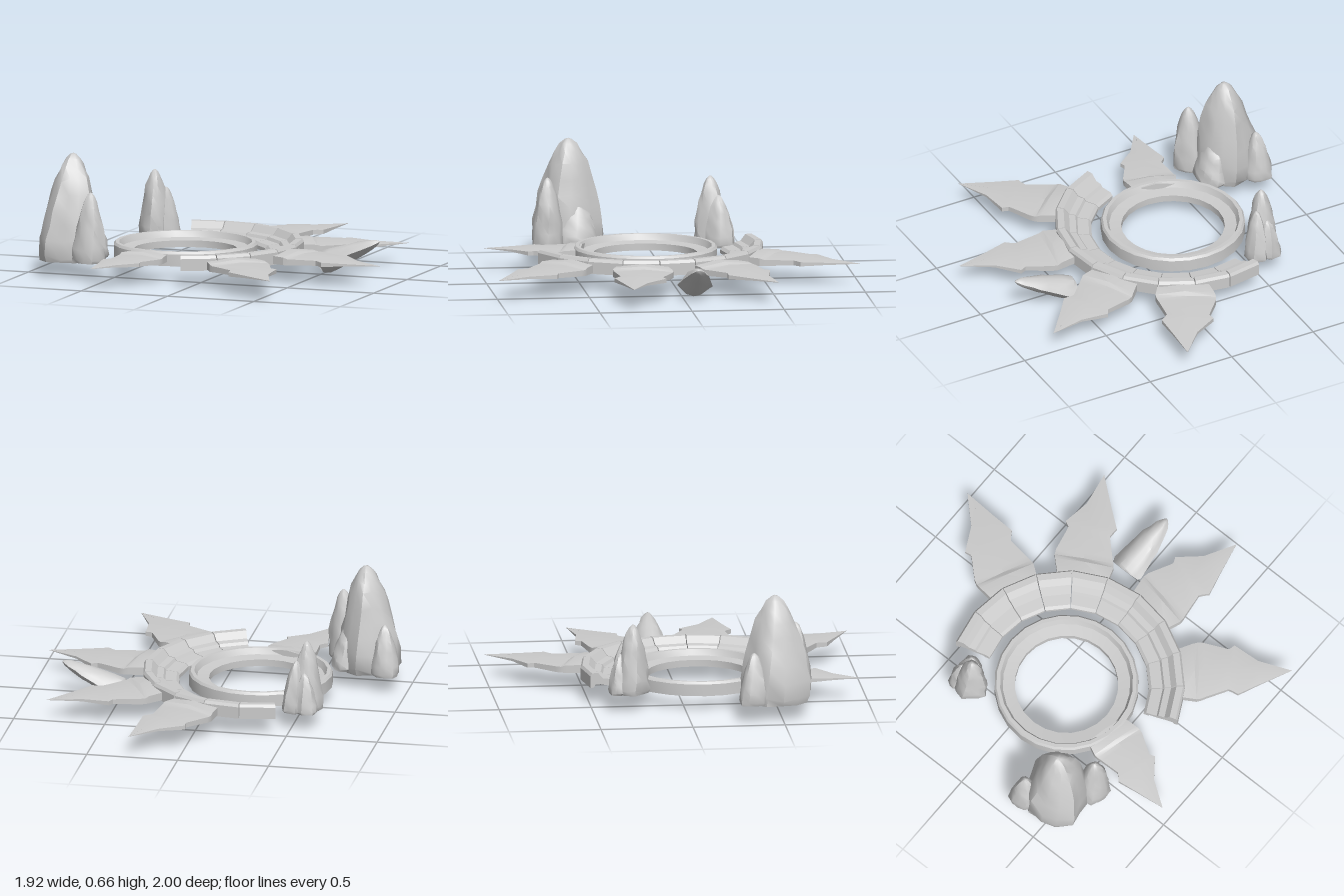
import * as THREE from 'three';
import { toCreasedNormals } from 'three/addons/utils/BufferGeometryUtils.js';

const material = new THREE.MeshStandardMaterial({ color: 0xcccccc });
const CX = -0.24, CZ = 0.11; // shared centre of the ring, arc and blades
const DEG = Math.PI / 180;

function add(parent, name, geometry, crease = 0.5) {
  const mesh = new THREE.Mesh(toCreasedNormals(geometry, crease), material);
  mesh.name = name;
  parent.add(mesh);
  return mesh;
}

// Skin a stack of equal-length rings and close the first one
function loft(rings) {
  const n = rings[0].length, index = [];
  for (let i = 0; i < rings.length - 1; i++) {
    for (let j = 0; j < n; j++) {
      const a = i * n + j, b = i * n + (j + 1) % n;
      index.push(a, b, a + n, b, b + n, a + n);
    }
  }
  for (let k = 1; k < n - 1; k++) index.push(0, k + 1, k);
  const geometry = new THREE.BufferGeometry();
  geometry.setAttribute('position', new THREE.Float32BufferAttribute(rings.flat(2), 3));
  geometry.setIndex(index);
  return geometry;
}

// Closed ring with raised rim and recessed inner ledge
function ringGeometry() {
  const profile = [[0.28, 0.085], [0.39, 0.085], [0.39, 0.15], [0.38, 0.163], [0.36, 0.163],
    [0.345, 0.13], [0.28, 0.122], [0.28, 0.085]];
  return new THREE.LatheGeometry(profile.map(p => new THREE.Vector2(...p)), 24);
}

// One block of the stepped arc: an extrusion bent into a wedge
function arcBlockGeometry(start, sweep) {
  const profile = [[0.64, 0.1], [0.64, 0.165], [0.63, 0.18], [0.595, 0.18], [0.565, 0.145],
    [0.53, 0.14], [0.52, 0.125], [0.46, 0.12], [0.445, 0.105], [0.445, 0.085],
    [0.47, 0.085], [0.48, 0.1], [0.54, 0.105], [0.58, 0.115], [0.61, 0.115], [0.62, 0.1]];
  const geometry = new THREE.ExtrudeGeometry(
    new THREE.Shape(profile.map(p => new THREE.Vector2(...p))),
    { depth: 1, bevelEnabled: false });
  const pos = geometry.attributes.position;
  for (let i = 0; i < pos.count; i++) {
    const r = pos.getX(i), a = start + pos.getZ(i) * sweep;
    pos.setXYZ(i, r * Math.cos(a), pos.getY(i), r * Math.sin(a));
  }
  return geometry;
}

// Barbed blade along +x: distance, two side edges, top and bottom heights
function bladeGeometry() {
  const stations = [
    [0.60, -0.15, 0.12, 0.168, 0.095], [0.695, -0.18, 0.14, 0.164, 0.095],
    [0.72, -0.187, 0.135, 0.15, 0.096], [0.75, -0.185, 0.125, 0.15, 0.097],
    [0.87, -0.145, 0.09, 0.147, 0.102], [0.89, -0.14, 0.1, 0.146, 0.103],
    [0.92, -0.16, 0.12, 0.144, 0.105], [1.04, -0.065, 0.07, 0.136, 0.114],
    [1.22, 0, 0, 0.125, 0.123]];
  return loft(stations.map(([s, l, r, top, bottom]) => {
    const mid = 0.123, up = mid + (top - mid) * 0.6, down = mid + (bottom - mid) * 0.6;
    const c = (l + r) / 2;
    return [[s, top, c], [s, up, r], [s, down, r], [s, bottom, c], [s, down, l], [s, up, l]];
  }));
}

// Weathered spire standing on y = 0
function rockGeometry(rx, rz, height, seed, leanX = 0, leanZ = 0) {
  let state = seed * 7919;
  const random = () => {
    state = (state * 16807) % 2147483647;
    return state / 2147483647 - 0.5;
  };
  random(); random();
  const levels = [[0, 0.9], [0.05, 0.98], [0.2, 0.94], [0.35, 0.87], [0.5, 0.77], [0.63, 0.66],
    [0.76, 0.53], [0.87, 0.38], [0.95, 0.23], [0.99, 0.09], [1, 0]];
  const sides = 13;
  const ridges = Array.from({ length: sides }, () => 1 + random() * 0.24);
  return loft(levels.map(([t, r]) => Array.from({ length: sides }, (_, j) => {
    const a = j / sides * Math.PI * 2 + t * 0.3;
    const k = r * ridges[j] * (1 + random() * 0.13);
    const rise = t > 0.01 && t < 0.9 ? random() * 0.05 : 0;
    return [Math.sin(a) * rx * k + leanX * t, height * (t + rise), Math.cos(a) * rz * k + leanZ * t];
  })));
}

export function createModel() {
  const model = new THREE.Group();
  model.name = 'ruinedSunCircle';

  const circle = new THREE.Group();
  circle.name = 'circle';
  circle.position.set(CX, 0, CZ);
  model.add(circle);

  add(circle, 'innerRing', ringGeometry());

  // Half circle of ten separate blocks
  const arc = new THREE.Group();
  arc.name = 'outerArc';
  circle.add(arc);
  for (let i = 0; i < 10; i++) {
    add(arc, 'arcBlock', arcBlockGeometry((-108.2 + i * 18) * DEG, 17.5 * DEG), 0.3);
  }

  // Four blades on the arc
  for (const angle of [-65.3, -29.7, 9.5, 47]) {
    add(circle, 'blade', bladeGeometry(), 0.35).rotation.y = -angle * DEG;
  }

  // Smaller blade attached to the ring
  const small = bladeGeometry();
  small.scale(0.87, 0.9, 0.87).translate(0.88 - 1.22 * 0.87, 0.012, 0);
  add(circle, 'ringBlade', small, 0.35).rotation.y = -104.5 * DEG;

  // Standing rocks: x, y, z, radii, height, seed, lean
  const rocks = [
    ['largeRock', -0.765, 0.09, 0.475, 0.175, 0.185, 0.58, 11, 0.015, -0.005],
    ['largeRockSide', -0.88, 0.1, 0.34, 0.075, 0.085, 0.28, 23, 0.005, 0.005],
    ['largeRockFront', -0.61, 0.1, 0.6, 0.095, 0.085, 0.38, 37, 0.01, 0],
    ['largeRockShoulder', -0.65, 0.1, 0.44, 0.09, 0.13, 0.25, 41, -0.02, 0],
    ['smallRock', -0.57, 0.1, -0.29, 0.085, 0.095, 0.38, 53, 0, 0.01],
    ['smallRockSide', -0.51, 0.1, -0.33, 0.07, 0.08, 0.28, 61, -0.01, 0.01],
    ['smallRockBack', -0.58, 0.1, -0.36, 0.065, 0.055, 0.22, 71, 0.01, 0.01]];
  for (const [name, x, y, z, ...shape] of rocks) {
    add(model, name, rockGeometry(...shape), 0.8).position.set(x, y, z);
  }

  // Toppled rock lying between two blades
  const fallen = add(model, 'fallenRock', rockGeometry(0.062, 0.085, 0.36, 83, -0.012, 0.02), 0.8);
  fallen.position.set(0.485, 0.062, -0.075);
  fallen.rotation.z = -70 * DEG;

  return model;
}
